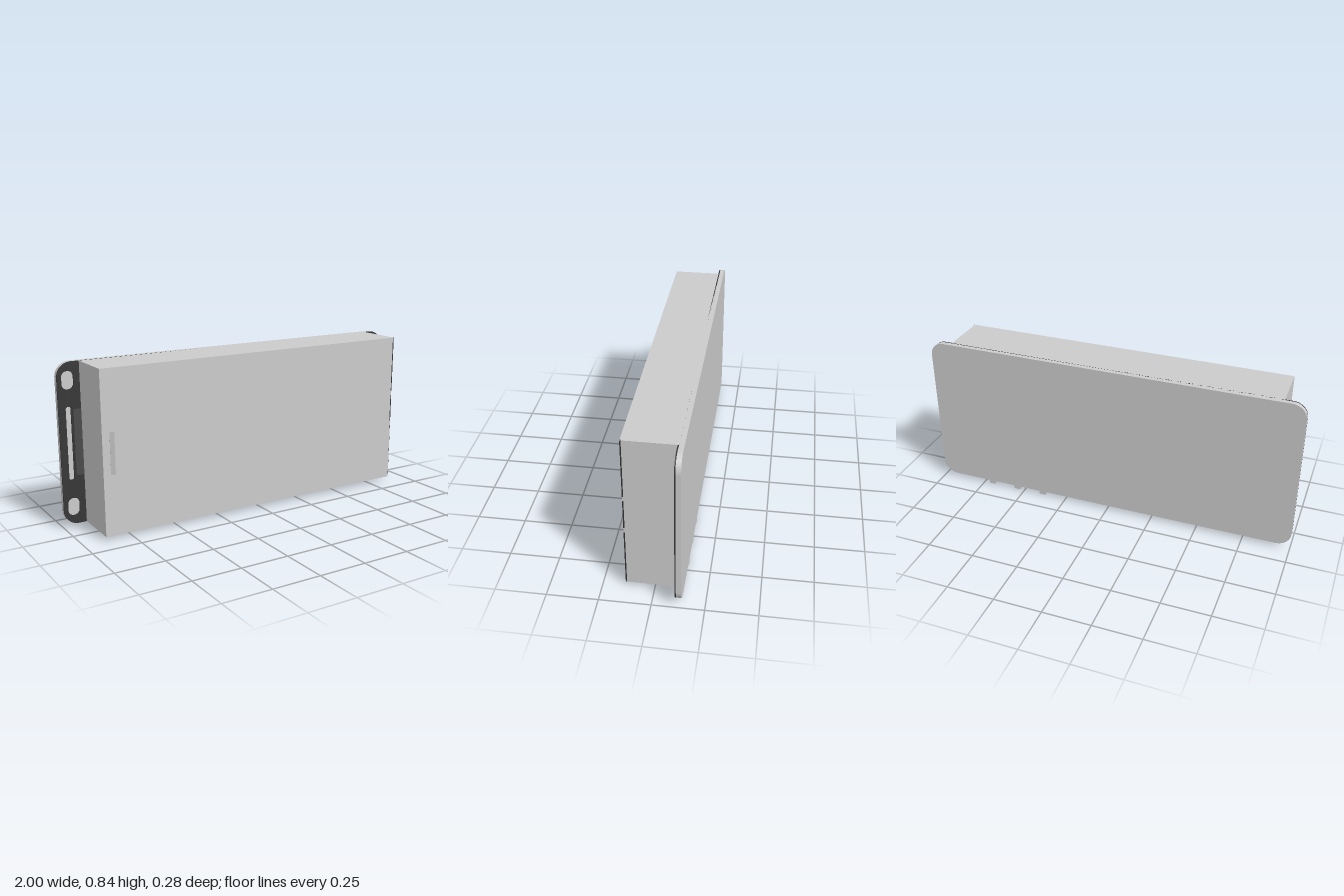
import * as THREE from 'three';

const Y0 = 0.02, Y1 = 0.84, BACK = -0.14, SEAM = -0.116, FLANGE = -0.11, FRONT = 0.14, HALF = 0.885;
const grey = new THREE.MeshStandardMaterial({ color: 0xcccccc });
const dark = new THREE.MeshStandardMaterial({ color: 0x363636 });
const softDark = new THREE.MeshStandardMaterial({ color: 0x4a4a4a });
const softGrey = new THREE.MeshStandardMaterial({ color: 0xb8b8b8 });

// Rounded rectangle outline, as a Shape or a Path for holes
function roundRect(target, x0, y0, x1, y1, r) {
  target.absarc(x1 - r, y0 + r, r, -Math.PI / 2, 0);
  target.absarc(x1 - r, y1 - r, r, 0, Math.PI / 2);
  target.absarc(x0 + r, y1 - r, r, Math.PI / 2, Math.PI);
  target.absarc(x0 + r, y0 + r, r, Math.PI, Math.PI * 1.5);
  target.closePath();
  return target;
}

function slab(shape, z0, z1) {
  const g = new THREE.ExtrudeGeometry(shape, { depth: z1 - z0, bevelEnabled: false, curveSegments: 12 });
  return g.translate(0, 0, z0);
}

function box(x0, x1, y0, y1, z0, z1) {
  const g = new THREE.BoxGeometry(x1 - x0, y1 - y0, z1 - z0);
  return g.translate((x0 + x1) / 2, (y0 + y1) / 2, (z0 + z1) / 2);
}

export function createModel() {
  const model = new THREE.Group();
  const add = (name, geometry, material) => {
    const mesh = new THREE.Mesh(geometry, material);
    mesh.name = name;
    model.add(mesh);
  };

  // Rounded back plate
  add('backPlate', slab(roundRect(new THREE.Shape(), -1, Y0, 1, Y1, 0.075), BACK, SEAM), grey);

  // Dark flange skin with slots cut through to the plate
  const skin = roundRect(new THREE.Shape(), -1, Y0, 1, Y1, 0.075);
  for (const x of [-0.947, 0.947])
    for (const y of [0.11, 0.75])
      skin.holes.push(roundRect(new THREE.Path(), x - 0.03, y - 0.045, x + 0.03, y + 0.045, 0.028));
  skin.holes.push(roundRect(new THREE.Path(), -0.963, 0.25, -0.937, 0.62, 0.012));
  for (const y of [0.343, 0.523])
    skin.holes.push(roundRect(new THREE.Path(), 0.86, y - 0.012, 0.925, y + 0.012, 0.011));
  add('flangeSkin', slab(skin, SEAM, FLANGE), dark);

  // Main housing
  add('housing', box(-HALF, HALF, Y0, Y1, SEAM, FRONT), grey);

  // Dark edge strip on the housing's left side, broken by two gaps
  for (const [a, b] of [[Y0, 0.328], [0.355, 0.51], [0.535, Y1]])
    add('edgeStrip', box(HALF - 0.005, HALF + 0.001, a, b, FRONT - 0.006, FRONT), dark);

  // Shallow inlays on the flange and on the front face
  add('flangeInlay', slab(roundRect(new THREE.Shape(), -0.925, 0.27, -0.87, 0.605, 0.008), SEAM, FLANGE + 0.001), softDark);
  add('frontInlay', slab(roundRect(new THREE.Shape(), -0.847, 0.325, -0.823, 0.535, 0.006), FRONT - 0.004, FRONT + 0.001), softGrey);

  // Three small tabs under the bottom edge
  for (const x of [0.387, 0.543, 0.698]) {
    const tab = () => roundRect(new THREE.Shape(), x - 0.02, 0, x + 0.02, Y0 + 0.015, 0.008);
    add('bottomTab', slab(tab(), BACK, SEAM), grey);
    add('bottomTabSkin', slab(tab(), SEAM, FLANGE), dark);
  }
  return model;
}
